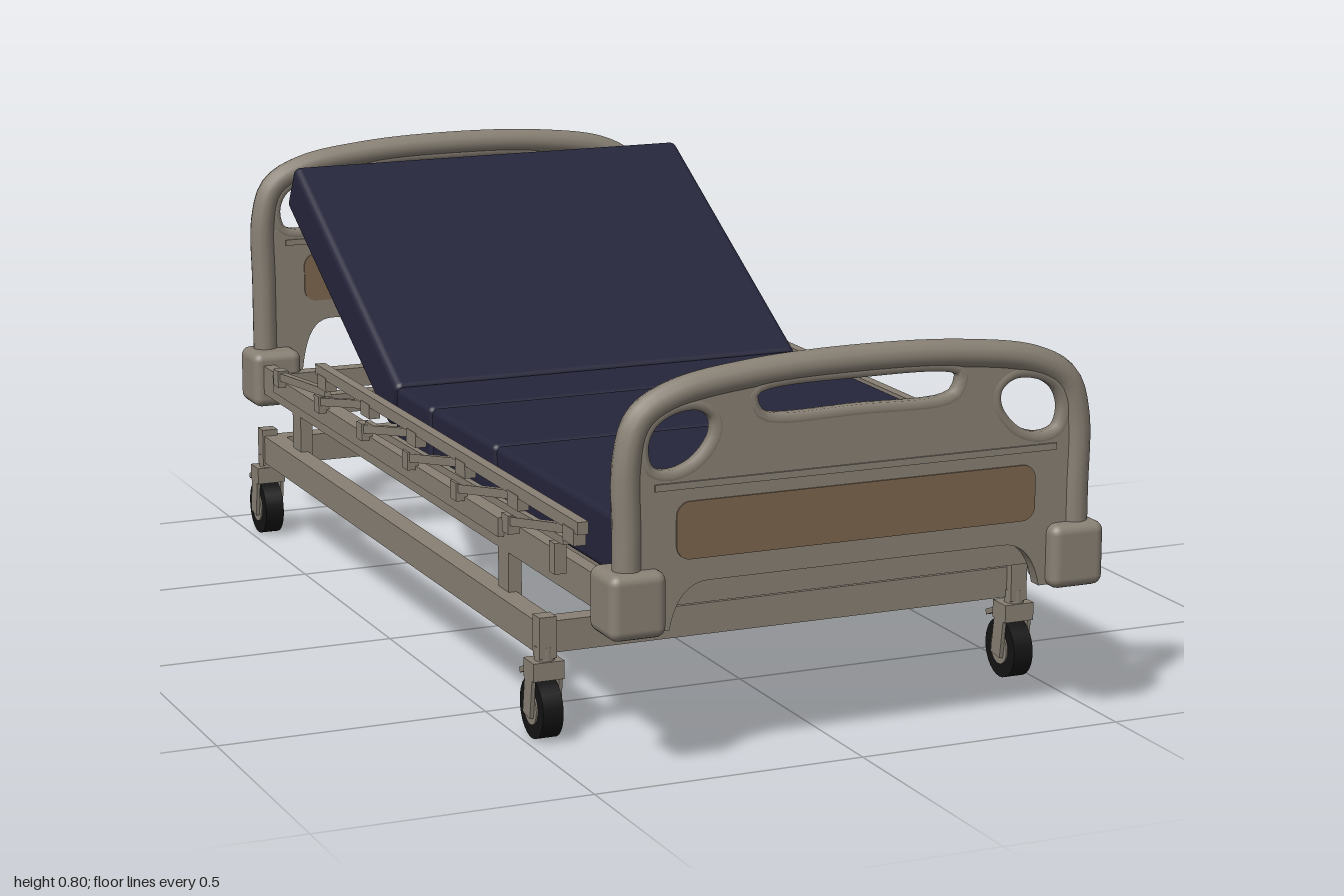
import * as THREE from 'three';
import { RoundedBoxGeometry } from 'three/addons/geometries/RoundedBoxGeometry.js';

const frameMat = new THREE.MeshStandardMaterial({ name: 'warm grey frame', color: 0x888074 });
const mattressMat = new THREE.MeshStandardMaterial({ name: 'navy mattress', color: 0x25253b });
const woodMat = new THREE.MeshStandardMaterial({ name: 'brown inlay', color: 0x7d664e });
const tyreMat = new THREE.MeshStandardMaterial({ name: 'black rubber', color: 0x141414 });

function add(parent, name, geometry, material, x = 0, y = 0, z = 0) {
  const mesh = new THREE.Mesh(geometry, material);
  mesh.name = name;
  mesh.position.set(x, y, z);
  parent.add(mesh);
  return mesh;
}

// Box given by its limits on each axis
function box(parent, name, [x0, x1], [y0, y1], [z0, z1], material = frameMat, radius = 0) {
  const size = [x1 - x0, y1 - y0, z1 - z0];
  const geo = radius ? new RoundedBoxGeometry(...size, 3, radius) : new THREE.BoxGeometry(...size);
  return add(parent, name, geo, material, (x0 + x1) / 2, (y0 + y1) / 2, (z0 + z1) / 2);
}

// Flat bar between two points in the side plane
function link(parent, name, x, w, h, [z0, y0], [z1, y1]) {
  const geo = new THREE.BoxGeometry(w, h, Math.hypot(z1 - z0, y1 - y0));
  const bar = add(parent, name, geo, frameMat, x, (y0 + y1) / 2, (z0 + z1) / 2);
  bar.rotation.x = -Math.atan2(y1 - y0, z1 - z0);
  return bar;
}

const vec = (points, z = 0) => points.map(([x, y]) => new THREE.Vector3(x, y, z));

// Rounded plate outline
function roundedShape(w, h, r, cy) {
  const s = new THREE.Shape(), x = w / 2, y = h / 2;
  s.absarc(x - r, cy - y + r, r, -Math.PI / 2, 0);
  s.absarc(x - r, cy + y - r, r, 0, Math.PI / 2);
  s.absarc(-x + r, cy + y - r, r, Math.PI / 2, Math.PI);
  s.absarc(-x + r, cy - y + r, r, Math.PI, Math.PI * 1.5);
  s.closePath();
  return s;
}

// End board: arched tube, pierced panel, inlays and corner blocks
function endBoard(name, lift) {
  const board = new THREE.Group();
  board.name = name;
  const half = [[0.425, 0.28], [0.425, 0.42 + lift], [0.424, 0.56 + lift], [0.402, 0.626 + lift],
    [0.34, 0.662 + lift], [0.2, 0.685 + lift]];
  const arch = [...half, [0, 0.693 + lift], ...half.map(([x, y]) => [-x, y]).reverse()];
  const curve = new THREE.CatmullRomCurve3(vec(arch));
  add(board, 'archTube', new THREE.TubeGeometry(curve, 90, 0.025, 12), frameMat);

  const panel = new THREE.Shape(curve.getPoints(90).map((p) => new THREE.Vector2(p.x, p.y)));
  panel.lineTo(-0.425, 0.26);
  panel.lineTo(-0.352, 0.26);
  panel.bezierCurveTo(-0.345, 0.3 + lift, -0.325, 0.34 + lift, -0.28, 0.34 + lift);
  panel.lineTo(0.28, 0.34 + lift);
  panel.bezierCurveTo(0.325, 0.34 + lift, 0.345, 0.3 + lift, 0.352, 0.26);
  panel.lineTo(0.425, 0.26);
  panel.closePath();

  // Hand holes: slot in the middle, tilted ovals at the shoulders
  const slot = [[-0.2, 0.65], [-0.19, 0.617], [-0.165, 0.605], [0, 0.604], [0.165, 0.605], [0.19, 0.617],
    [0.2, 0.65], [0.185, 0.664], [0, 0.673], [-0.185, 0.664]].map(([x, y]) => [x, y + lift]);
  const oval = [[0.265, 0.62], [0.264, 0.585], [0.3, 0.54], [0.35, 0.523], [0.388, 0.535], [0.4, 0.575],
    [0.385, 0.615], [0.345, 0.64], [0.295, 0.643]].map(([x, y]) => [x, y + lift]);
  const mirrored = oval.map(([x, y]) => [-x, y]);
  for (const points of [slot, oval, mirrored]) {
    const edge = new THREE.CatmullRomCurve3(vec(points), true);
    panel.holes.push(new THREE.Path(edge.getPoints(48).slice(0, 48).map((p) => new THREE.Vector2(p.x, p.y))));
    add(board, 'handHoleLip', new THREE.TubeGeometry(edge, 48, 0.013, 6, true), frameMat).scale.z = 1.3;
  }
  add(board, 'panel', new THREE.ExtrudeGeometry(panel, { depth: 0.026, bevelEnabled: false }), frameMat, 0, 0, -0.013);
  box(board, 'panelRidge', [-0.38, 0.38], [0.502 + lift, 0.514 + lift], [-0.017, 0.017]);

  // Inlay on both faces
  const inlay = new THREE.ExtrudeGeometry(roundedShape(0.68, 0.1, 0.025, 0.43 + lift), { depth: 0.004, bevelEnabled: false });
  add(board, 'inlay', inlay, woodMat, 0, 0, 0.012);
  add(board, 'inlay', inlay, woodMat, 0, 0, -0.016);
  for (const s of [-1, 1]) {
    add(board, 'cornerBlock', new RoundedBoxGeometry(0.104, 0.115, 0.104, 3, 0.018), frameMat, s * 0.417, 0.3125, -0.012);
  }
  return board;
}

// Braked swivel caster
function caster(x, z) {
  const g = new THREE.Group();
  g.name = 'caster';
  g.position.set(x, 0, z);
  const tyre = add(g, 'tyre', new THREE.CylinderGeometry(0.055, 0.055, 0.038, 28), tyreMat, 0, 0.055, 0);
  tyre.rotation.z = Math.PI / 2;
  const hub = add(g, 'hub', new THREE.CylinderGeometry(0.03, 0.03, 0.044, 20), frameMat, 0, 0.055, 0);
  hub.rotation.z = Math.PI / 2;
  for (const s of [-1, 1]) {
    const x0 = s * 0.0255;
    link(g, 'forkArm', x0, 0.007, 0.034, [0, 0.043], [0.014, 0.135]);
  }
  box(g, 'forkCrown', [-0.029, 0.029], [0.112, 0.145], [-0.012, 0.036]);
  add(g, 'stem', new THREE.CylinderGeometry(0.018, 0.018, 0.04, 16), frameMat, 0, 0.15, 0.015);
  box(g, 'post', [-0.016, 0.016], [0.15, 0.225], [0, 0.032]);
  link(g, 'brakePedal', 0, 0.036, 0.01, [-0.01, 0.128], [-0.058, 0.108]);
  return g;
}

// Folded side guard: top bar, bottom bar and slanting links
function sideGuard(s) {
  const g = new THREE.Group();
  g.name = s > 0 ? 'leftGuard' : 'rightGuard';
  const x = s * 0.467;
  link(g, 'topBar', x, 0.02, 0.022, [0.875, 0.425], [-0.48, 0.425]);
  link(g, 'bottomBar', s * 0.455, 0.014, 0.035, [0.47, 0.328], [-0.8, 0.328]);
  for (let i = 0; i < 6; i++) {
    const z = 0.84 - i * 0.255;
    link(g, 'guardLink', x, 0.014, 0.016, [z, i < 5 ? 0.415 : 0.385], [z - 0.3, 0.358]);
    link(g, 'upperPivot', x, 0.022, 0.028, [z + 0.02, 0.405], [z - 0.03, 0.405]);
    link(g, 'lowerPivot', x, 0.022, 0.034, [z - 0.28, 0.355], [z - 0.31, 0.355]);
  }
  link(g, 'middleBar', x, 0.012, 0.014, [0.8, 0.385], [-0.2, 0.372]);
  box(g, 'latch', [x - 0.011, x + 0.011], [0.32, 0.375], [0.75, 0.775]);
  return g;
}

export function createModel() {
  const bed = new THREE.Group();
  bed.name = 'adjustableBed';

  // End boards
  const foot = endBoard('footBoard', 0);
  foot.position.z = 0.96;
  const head = endBoard('headBoard', 0.085);
  head.position.z = -0.96;
  head.rotation.y = Math.PI;
  bed.add(foot, head);

  // Upper and lower frames with uprights, casters and guards on both sides
  for (const s of [-1, 1]) {
    const span = (a, b) => (s > 0 ? [a, b] : [-b, -a]);
    box(bed, 'upperRail', span(0.425, 0.45), [0.285, 0.345], [-0.92, 0.92]);
    box(bed, 'lowerRail', span(0.435, 0.475), [0.155, 0.212], [-0.84, 0.69]);
    for (const z of [0.465, -0.685]) {
      box(bed, 'upright', span(0.425, 0.45), [0.2, 0.3], [z - 0.025, z + 0.025]);
    }
    bed.add(caster(s * 0.463, 0.675), caster(s * 0.463, -0.855), sideGuard(s));
  }
  for (const z of [0.9, 0.465, -0.685, -0.905]) {
    box(bed, 'upperCrossbar', [-0.43, 0.43], [0.285, 0.325], [z - 0.018, z + 0.018]);
  }
  for (const z of [0.67, -0.82]) {
    box(bed, 'lowerCrossbar', [-0.445, 0.445], [0.155, 0.212], [z - 0.02, z + 0.02]);
  }

  // Flat sections: mattress pads over slats
  for (const [z0, z1] of [[0.363, 0.9], [0.035, 0.357], [-0.16, 0.029]]) {
    box(bed, 'mattressSection', [-0.425, 0.425], [0.345, 0.45], [z0, z1], mattressMat, 0.012);
    const count = Math.round((z1 - z0) / 0.1);
    for (let i = 0; i < count; i++) {
      const z = z0 + ((i + 0.5) * (z1 - z0)) / count;
      box(bed, 'slat', [-0.41, 0.41], [0.328, 0.346], [z - 0.033, z + 0.033]);
    }
    for (const x of [-0.4, 0.4]) {
      box(bed, 'sectionRail', [x - 0.012, x + 0.012], [0.318, 0.346], [z0 + 0.01, z1 - 0.01]);
    }
  }

  // Raised backrest, hinged at the hip end
  const back = new THREE.Group();
  back.name = 'backrest';
  back.position.set(0, 0.45, -0.15);
  back.rotation.x = Math.PI * 29.5 / 180;
  box(back, 'backMattress', [-0.425, 0.425], [-0.103, 0], [-0.69, 0], mattressMat, 0.015);
  const r = 0.39, y = -0.117;
  const tubePath = new THREE.CurvePath();
  const v = (x, z) => new THREE.Vector3(x, y, z);
  tubePath.add(new THREE.LineCurve3(v(r, -0.03), v(r, -0.58)));
  tubePath.add(new THREE.QuadraticBezierCurve3(v(r, -0.58), v(r, -0.68), v(r - 0.1, -0.68)));
  tubePath.add(new THREE.LineCurve3(v(r - 0.1, -0.68), v(0.1 - r, -0.68)));
  tubePath.add(new THREE.QuadraticBezierCurve3(v(0.1 - r, -0.68), v(-r, -0.68), v(-r, -0.58)));
  tubePath.add(new THREE.LineCurve3(v(-r, -0.58), v(-r, -0.03)));
  add(back, 'backFrame', new THREE.TubeGeometry(tubePath, 90, 0.016, 10), frameMat);
  for (let i = 0; i < 6; i++) {
    const z = -0.08 - i * 0.105;
    box(back, 'backSlat', [-0.39, 0.39], [-0.12, -0.102], [z - 0.033, z + 0.033]);
  }
  bed.add(back);

  return bed;
}
